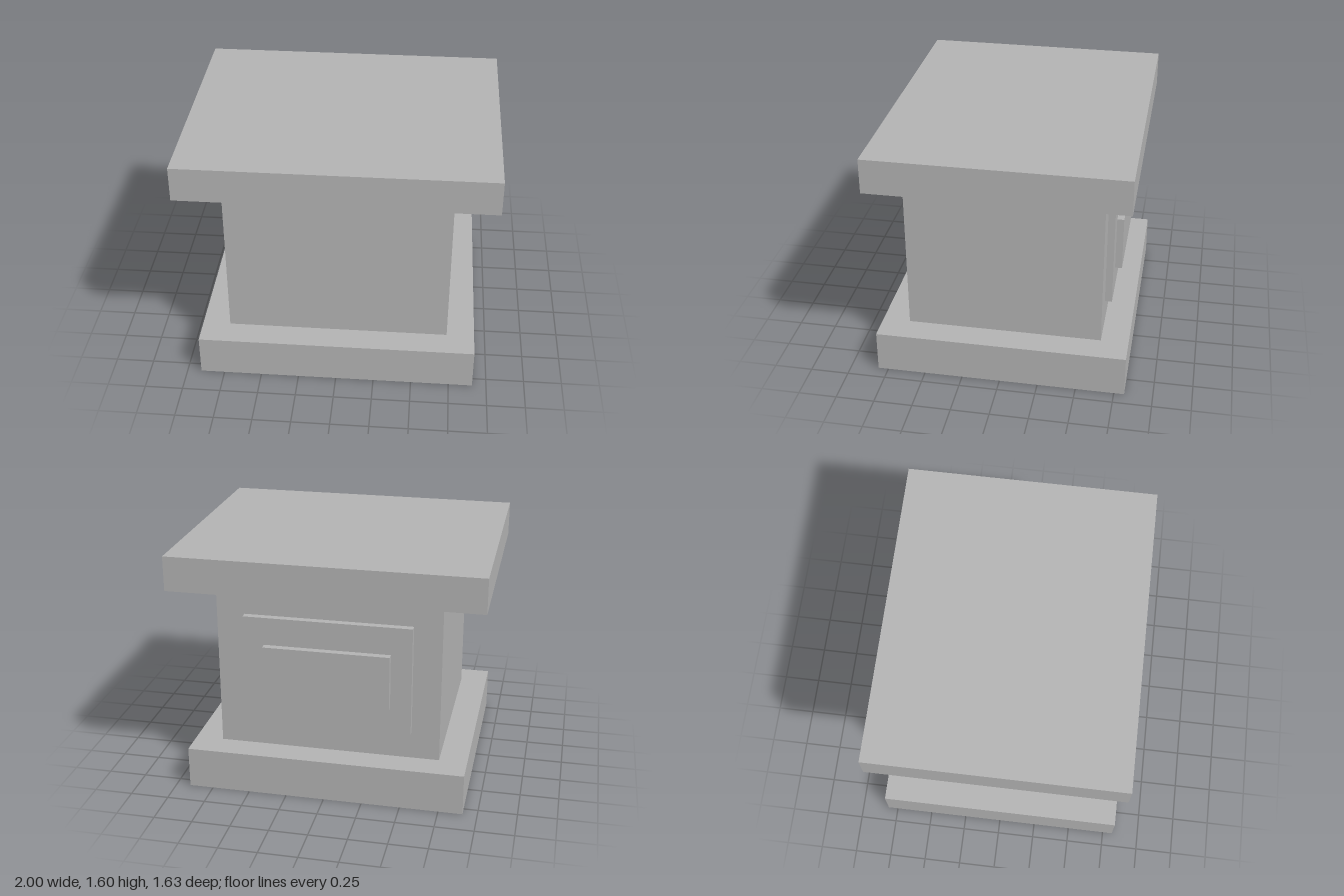
import * as THREE from 'three';

export function createModel() {
  const group = new THREE.Group();
  const stone = new THREE.MeshStandardMaterial({ color: 0xb2b2b2 });
  stone.name = 'grey stone';

  // Box centred on x, spanning y0..y1 and z0..z1
  const block = (name, width, y0, y1, z0, z1) => {
    const mesh = new THREE.Mesh(new THREE.BoxGeometry(width, y1 - y0, z1 - z0), stone);
    mesh.name = name;
    mesh.position.set(0, (y0 + y1) / 2, (z0 + z1) / 2);
    group.add(mesh);
  };

  // Plinth, shaft and overhanging top slab
  block('base', 1.814, 0, 0.273, -0.817, 0.817);
  block('shaft', 1.45, 0.273, 1.369, -0.637, 0.637);
  block('topSlab', 2, 1.369, 1.595, -0.817, 0.817);

  // Stepped panel on the back
  block('outerPanel', 1.086, 0.458, 1.185, -0.683, -0.637);
  block('innerPanel', 0.816, 0.638, 1.002, -0.728, -0.683);

  return group;
}
